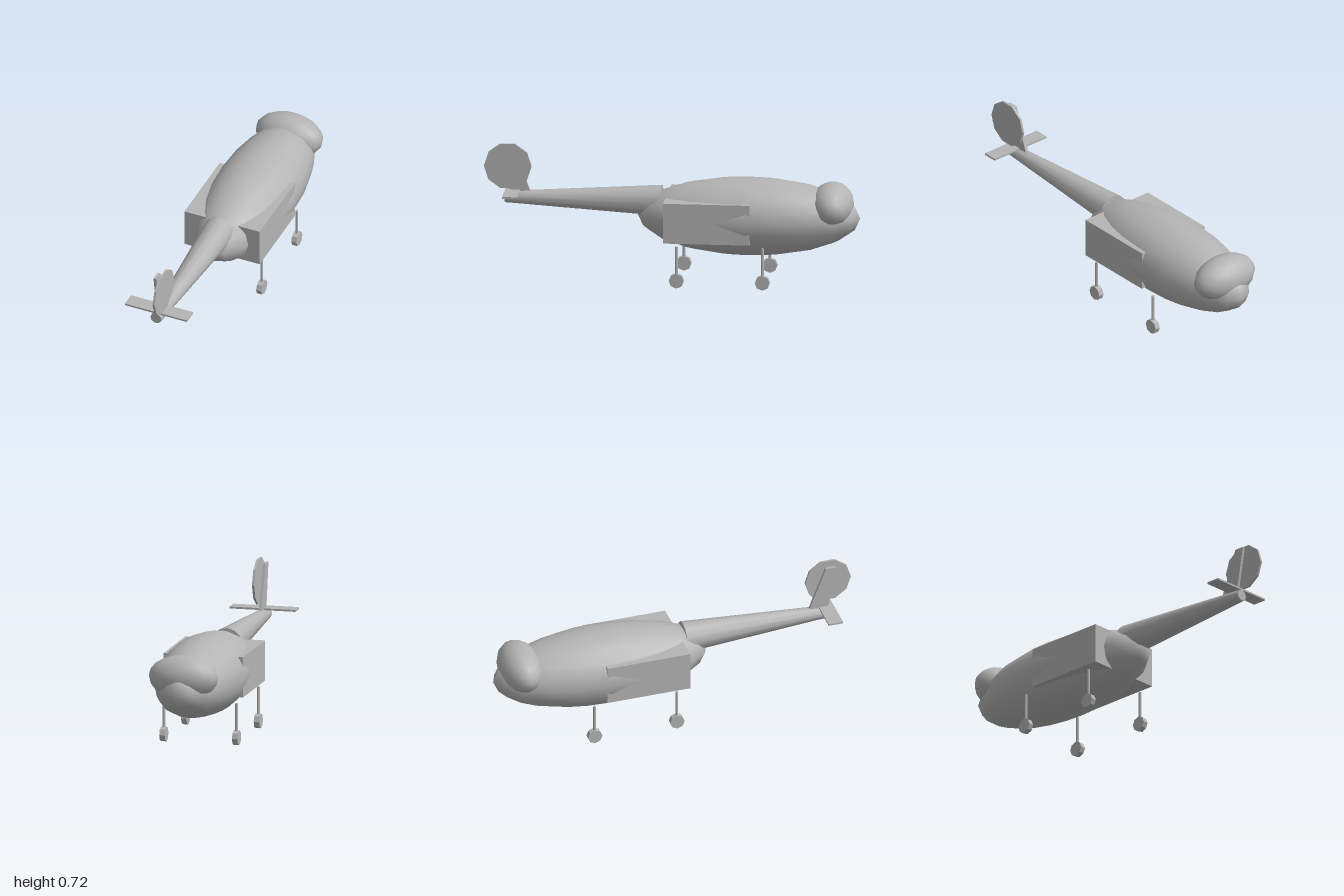
import * as THREE from 'three';

export function createModel() {
  const model = new THREE.Group();
  model.name = 'helicopter';
  const grey = new THREE.MeshStandardMaterial({ color: 0xb4b4b4 });
  grey.name = 'grey';

  const add = (name, geometry, x, y, z) => {
    const mesh = new THREE.Mesh(geometry, grey);
    mesh.name = name;
    mesh.position.set(x, y, z);
    model.add(mesh);
    return mesh;
  };
  // faceted copy of a geometry
  const faceted = (geometry) => {
    const g = geometry.toNonIndexed();
    g.computeVertexNormals();
    return g;
  };
  // disc whose axle runs along x
  const disc = (radius, width, sides) =>
    faceted(new THREE.CylinderGeometry(radius, radius, width, sides).rotateZ(Math.PI / 2));

  // Fuselage and cockpit bubble, nose toward -z
  add('fuselage', new THREE.SphereGeometry(1, 20, 10).scale(0.228, 0.207, 0.593), 0, 0.354, -0.407);
  add('cockpitCanopy', new THREE.SphereGeometry(1, 16, 10).scale(0.19, 0.118, 0.116), 0, 0.427, -0.851);

  // Side panniers: one block passing through the fuselage
  add('sidePanniers', new THREE.BoxGeometry(0.436, 0.217, 0.46), 0, 0.3535, -0.203);

  // Tapered tail boom
  add('tailBoom', new THREE.CylinderGeometry(0.031, 0.085, 0.836, 12).rotateX(Math.PI / 2), 0, 0.427, 0.473);

  // Tail surfaces
  add('stabilizer', new THREE.BoxGeometry(0.36, 0.01, 0.08), 0, 0.463, 0.85);
  const finShape = new THREE.Shape([
    new THREE.Vector2(-0.752, 0.45), new THREE.Vector2(-0.86, 0.45),
    new THREE.Vector2(-0.905, 0.702), new THREE.Vector2(-0.85, 0.702),
  ]);
  const fin = new THREE.ExtrudeGeometry(finShape, { depth: 0.016, bevelEnabled: false });
  add('tailFin', fin.translate(0, 0, -0.008).rotateY(Math.PI / 2), 0, 0, 0);
  add('tailRotorDisc', disc(0.127, 0.012, 10), 0.035, 0.603, 0.873);

  // Landing gear: four struts with wheels
  for (const x of [-0.199, 0.199]) {
    for (const z of [-0.042, -0.5]) {
      add('gearStrut', new THREE.CylinderGeometry(0.008, 0.008, 0.175, 8), x, 0.1375, z);
      add('wheel', disc(0.04, 0.03, 8), x, 0.04, z);
    }
  }
  return model;
}
